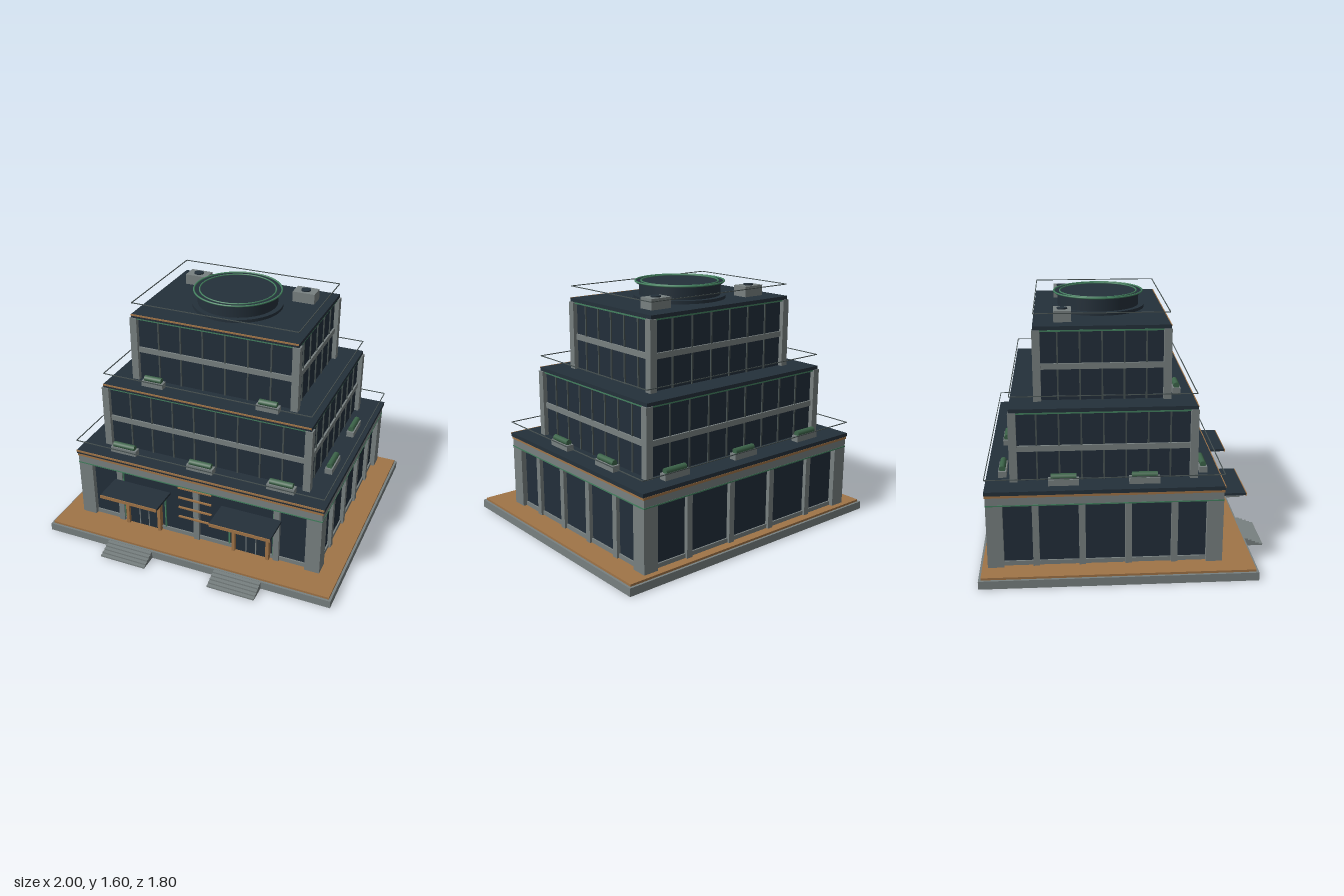
import * as THREE from 'three';

const paint = (name, color) => {
  const m = new THREE.MeshStandardMaterial({ color });
  m.name = name;
  return m;
};

export function createModel() {
  const stone = paint('grey stone', 0x788080);
  const roofMat = paint('dark roof', 0x24303a);
  const glass = paint('dark glass', 0x222e3a);
  const bronze = paint('bronze', 0xa07447);
  const leaf = paint('hedge green', 0x3c6449);
  const trim = paint('green trim', 0x43805f);
  const metal = paint('rail metal', 0x465050);

  const model = new THREE.Group();
  model.name = 'steppedBuilding';
  // The tiers share a centre set back from the middle of the plot
  const tower = new THREE.Group();
  tower.name = 'tower';
  tower.position.z = -0.14;
  model.add(tower);

  const add = (parent, name, geo, mat, x, y, z) => {
    const m = new THREE.Mesh(geo, mat);
    m.name = name;
    m.position.set(x, y, z);
    parent.add(m);
    return m;
  };
  // Box given by its x and z centre, size, and bottom and top heights
  const box = (parent, name, mat, x, z, w, d, y0, y1) =>
    add(parent, name, new THREE.BoxGeometry(w, y1 - y0, d), mat, x, (y0 + y1) / 2, z);
  const slab = (name, mat, hx, hz, y0, y1) => box(tower, name, mat, 0, 0, hx * 2, hz * 2, y0, y1);
  const corners = (name, hx, hz, size, y0, y1) => {
    for (const sx of [-1, 1]) for (const sz of [-1, 1])
      box(tower, name, stone, sx * (hx - size / 2), sz * (hz - size / 2), size, size, y0, y1);
  };
  // Thin rectangular loop floating above a roof edge
  const rail = (hx, hz, y) => {
    for (const s of [-1, 1]) {
      box(tower, 'roofRail', metal, 0, s * hz, hx * 2, 0.005, y - 0.0025, y + 0.0025);
      box(tower, 'roofRail', metal, s * hx, 0, 0.005, hz * 2, y - 0.0025, y + 0.0025);
    }
  };

  // Plinth, deck and the two flights of steps
  box(model, 'plinth', stone, 0, -0.0625, 2, 1.685, 0, 0.052);
  box(model, 'deck', bronze, 0, -0.0625, 1.97, 1.655, 0.052, 0.066);
  for (const s of [-1, 1])
    for (let i = 0; i < 5; i++) {
      const d = 0.12 - i * 0.024;
      box(model, 'step', stone, s * 0.383, 0.78 + d / 2, 0.32, d, 0, 0.01 * (i + 1));
    }

  // Ground floor: glazing, sill, corner piers and slim piers
  slab('groundGlazing', glass, 0.825, 0.68, 0.066, 0.5);
  slab('groundSill', stone, 0.835, 0.69, 0.066, 0.094);
  corners('cornerPier', 0.86, 0.715, 0.1, 0.066, 0.475);
  const pier = (x, z) => box(tower, 'pier', stone, x, z, 0.04, 0.04, 0.066, 0.475);
  for (const x of [-0.56, 0, 0.56]) pier(x, 0.685);
  for (const x of [-0.51, -0.17, 0.17, 0.51]) pier(x, -0.685);
  for (const s of [-1, 1]) for (const z of [-0.42, -0.14, 0.14, 0.42]) pier(s * 0.83, z);

  // Cornice and first roof
  slab('corniceGreenLine', trim, 0.862, 0.717, 0.468, 0.476);
  slab('cornice', stone, 0.86, 0.715, 0.476, 0.524);
  slab('corniceBronzeBand', bronze, 0.864, 0.718, 0.524, 0.539);
  slab('firstRoof', roofMat, 0.87, 0.72, 0.541, 0.565);
  box(tower, 'firstRoofTrim', bronze, 0, 0.72, 1.74, 0.006, 0.554, 0.566);
  rail(0.865, 0.715, 0.64);

  // Upper storeys: glazing, spandrel band, mullions, corner posts and roof
  const storey = (hx, hz, y0, y1, bandY, xs, zs) => {
    slab('storeyGlazing', glass, hx - 0.03, hz - 0.03, y0, y1 - 0.02);
    slab('spandrelBand', stone, hx - 0.018, hz - 0.018, bandY - 0.018, bandY + 0.018);
    corners('cornerPost', hx, hz, 0.048, y0, y1 - 0.024);
    for (const s of [-1, 1]) {
      for (const x of xs) box(tower, 'mullion', metal, x, s * (hz - 0.028), 0.01, 0.012, y0, y1 - 0.03);
      for (const z of zs) box(tower, 'mullion', metal, s * (hx - 0.028), z, 0.012, 0.01, y0, y1 - 0.03);
    }
    slab('storeyGreenLine', trim, hx - 0.013, hz - 0.01, y1 - 0.034, y1 - 0.024);
    slab('storeyRoof', roofMat, hx - 0.01, hz - 0.005, y1 - 0.023, y1);
    box(tower, 'roofTrim', bronze, 0, hz - 0.005, hx * 2 - 0.02, 0.006, y1 - 0.009, y1 + 0.001);
    rail(hx - 0.015, hz - 0.012, y1 + 0.076);
  };
  const spread = (n, gap) => Array.from({ length: n }, (_, i) => (i - (n - 1) / 2) * gap);
  storey(0.727, 0.572, 0.565, 1.025, 0.772, spread(8, 0.152), spread(7, 0.135));
  storey(0.575, 0.42, 1.025, 1.487, 1.238, spread(6, 0.154), spread(5, 0.135));

  // Entrances: glass doors, bronze frame, canopy and green side lights
  for (const s of [-1, 1]) {
    const x = s * 0.388;
    for (const e of [-1, 1]) box(model, 'doorJamb', bronze, x + e * 0.118, 0.56, 0.022, 0.04, 0.066, 0.37);
    box(model, 'doorLintel', bronze, x, 0.56, 0.258, 0.04, 0.348, 0.37);
    box(model, 'doorGlass', glass, x, 0.552, 0.214, 0.01, 0.066, 0.348);
    for (const e of [-0.034, 0.034]) box(model, 'doorMullion', stone, x + e, 0.558, 0.006, 0.008, 0.066, 0.348);
    box(model, 'canopy', roofMat, x, 0.665, 0.41, 0.2, 0.38, 0.396);
    box(model, 'canopyTrim', bronze, x, 0.767, 0.41, 0.006, 0.374, 0.396);
    box(model, 'canopySoffit', bronze, x, 0.665, 0.39, 0.18, 0.376, 0.38);
    box(model, 'sideLight', trim, s * 0.232, 0.545, 0.008, 0.012, 0.094, 0.35);
    box(model, 'pierLight', trim, s * 0.537, 0.55, 0.006, 0.012, 0.094, 0.468);
  }
  // Bronze bars across the central pier
  for (const y of [0.235, 0.31, 0.387, 0.464])
    box(model, 'wallBar', bronze, 0, 0.578, 0.235, 0.012, y - 0.005, y + 0.005);

  // Planters with rounded hedges
  const planter = (x, z, y, length, turned) => {
    const g = new THREE.Group();
    g.name = 'planter';
    g.position.set(x, y, z);
    if (turned) g.rotation.y = Math.PI / 2;
    tower.add(g);
    box(g, 'planterBox', stone, 0, 0, length, 0.05, 0, 0.038);
    add(g, 'hedge', new THREE.CylinderGeometry(0.02, 0.02, length - 0.03, 10), leaf, 0, 0.05, 0)
      .rotation.z = Math.PI / 2;
  };
  for (const x of [-0.555, 0, 0.555]) for (const z of [-0.62, 0.618]) planter(x, z, 0.565, 0.185, false);
  for (const x of [-0.772, 0.772]) for (const z of [-0.247, 0.242]) planter(x, z, 0.565, 0.185, true);
  for (const x of [-0.398, 0.398]) planter(x, 0.465, 1.025, 0.15, false);

  // Rooftop drum with green rings
  add(tower, 'drumBase', new THREE.CylinderGeometry(0.297, 0.297, 0.02, 48), roofMat, 0, 1.497, 0);
  add(tower, 'drum', new THREE.CylinderGeometry(0.262, 0.262, 0.078, 48), roofMat, 0, 1.545, 0);
  add(tower, 'drumCap', new THREE.CylinderGeometry(0.28, 0.28, 0.01, 48), roofMat, 0, 1.587, 0);
  for (const [r, t] of [[0.285, 0.006], [0.248, 0.005]])
    add(tower, 'greenRing', new THREE.TorusGeometry(r, t, 8, 64), trim, 0, 1.594, 0).rotation.x = Math.PI / 2;

  // Rooftop ventilation units
  for (const s of [-1, 1]) {
    box(tower, 'ventUnit', stone, s * 0.385, -0.235, 0.15, 0.108, 1.487, 1.555);
    add(tower, 'ventFan', new THREE.CylinderGeometry(0.032, 0.032, 0.01, 20), roofMat, s * 0.385, 1.558, -0.235);
  }
  return model;
}
